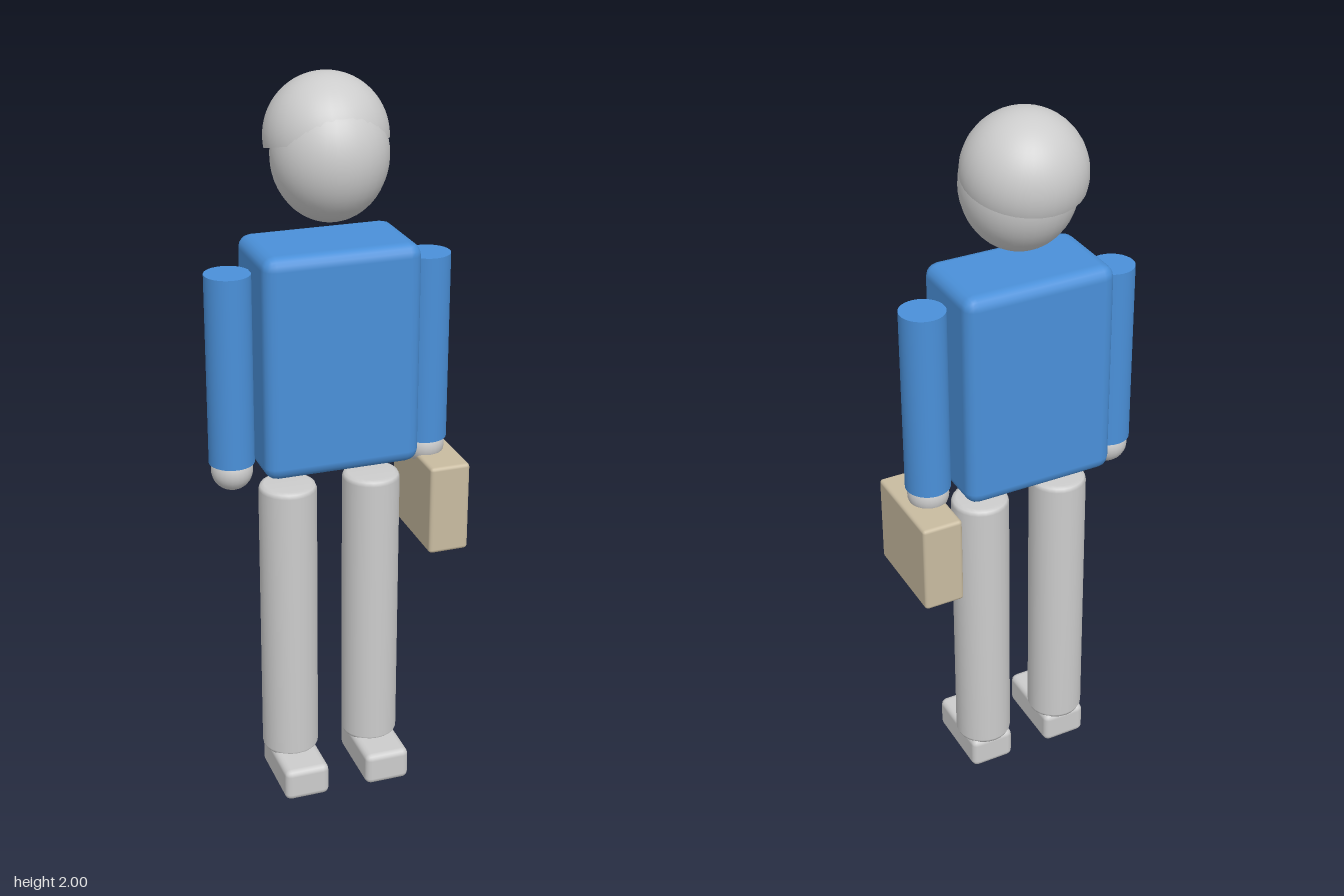
import * as THREE from 'three';
import { RoundedBoxGeometry } from 'three/addons/geometries/RoundedBoxGeometry.js';

const makeMaterial = (name, color) => {
  const m = new THREE.MeshStandardMaterial({ color });
  m.name = name;
  return m;
};

export function createModel() {
  const group = new THREE.Group();
  const grey = makeMaterial('light grey', 0xcccccc);
  const greyOpen = grey;
  greyOpen.side = THREE.DoubleSide;
  const blue = makeMaterial('shirt blue', 0x4a90d9);
  const tan = makeMaterial('case tan', 0xc8bba0);

  const add = (name, geometry, material, x, y, z) => {
    const mesh = new THREE.Mesh(geometry, material);
    mesh.name = name;
    mesh.position.set(x, y, z);
    group.add(mesh);
    return mesh;
  };

  // Box with softened edges, given by its limits on each axis
  const softBox = (name, material, [x0, x1], [y0, y1], [z0, z1], radius) =>
    add(name, new RoundedBoxGeometry(x1 - x0, y1 - y0, z1 - z0, 2, radius), material,
      (x0 + x1) / 2, (y0 + y1) / 2, (z0 + z1) / 2);

  // Upright limb with slightly rounded rims
  const limb = (name, material, radius, y0, y1, rim, x, z) => {
    const h = y1 - y0;
    const k = rim * 0.3;
    const profile = [
      [0, 0], [radius - rim, 0], [radius - k, k], [radius, rim],
      [radius, h - rim], [radius - k, h - k], [radius - rim, h], [0, h],
    ].map(([r, y]) => new THREE.Vector2(r, y));
    return add(name, new THREE.LatheGeometry(profile, 24), material, x, y0, z);
  };

  softBox('torso', blue, [-0.225, 0.2], [0.975, 1.58], [-0.12, 0.14], 0.035);

  // Limbs, mirrored about the body's centre line
  const centre = -0.012;
  for (const [side, s] of [['left', 1], ['right', -1]]) {
    const armX = centre + s * 0.272;
    const legX = centre + s * 0.119;
    add(side + 'Arm', new THREE.CylinderGeometry(0.061, 0.061, 0.52, 32), blue, armX, 1.255, 0.01);
    add(side + 'Hand', new THREE.SphereGeometry(0.056, 24, 16), grey, armX, 0.973, 0.01);
    limb(side + 'Leg', grey, 0.079, 0.085, 0.91, 0.015, legX, 0.012);
    softBox(side + 'Foot', grey, [legX - 0.064, legX + 0.064], [0, 0.095], [-0.055, 0.175], 0.018);
  }

  // Carried case
  softBox('case', tan, [0.227, 0.34], [0.7, 0.955], [-0.13, 0.152], 0.01);

  // Head with a tilted cap of hair, lower at the back
  const head = add('head', new THREE.SphereGeometry(1, 32, 24), grey, centre, 1.8, 0.013);
  head.scale.set(0.151, 0.172, 0.152);
  const hair = add('hair', new THREE.SphereGeometry(0.16, 32, 20, 0, Math.PI * 2, 0, Math.PI / 2 + 0.12),
    grey, centre, 1.84, -0.015);
  hair.rotation.x = -0.25;

  return group;
}
